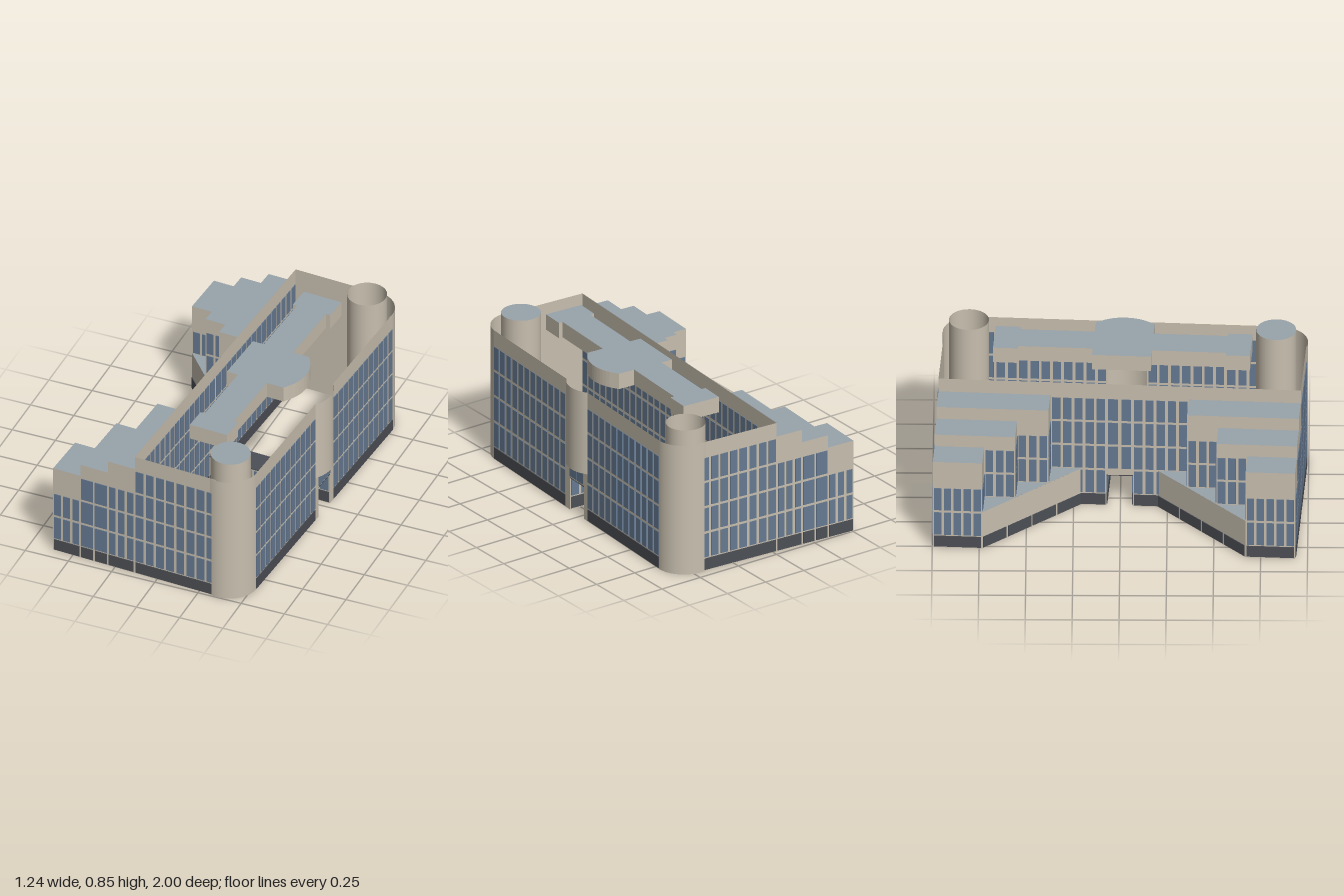
import * as THREE from 'three';
import { mergeGeometries } from 'three/addons/utils/BufferGeometryUtils.js';

const mat = (name, color) => {
  const m = new THREE.MeshStandardMaterial({ color, side: THREE.DoubleSide });
  m.name = name;
  return m;
};

export function createModel() {
  const stone = mat('stone', 0xc8bfaf);
  const glass = mat('glass', 0x667a92);
  const dark = mat('plinth', 0x4c4f55);
  const slate = mat('roof', 0x98a3ab);
  slate.side = THREE.FrontSide;

  const model = new THREE.Group();
  model.name = 'officeBuilding';
  const site = new THREE.Group();
  site.name = 'building';
  site.rotation.y = -0.057;
  model.add(site);

  const add = (parent, name, geo, material) => {
    const m = new THREE.Mesh(geo, material);
    m.name = name;
    parent.add(m);
    return m;
  };

  const ROWS = [[0.08, 0.217], [0.232, 0.367], [0.382, 0.515], [0.53, 0.662]];

  // Wall panel from a to b ([x, z]), facing left of its back; windows and plinth are thin plates
  function facade(name, a, b, y0, y1, o = {}) {
    const dx = b[0] - a[0], dz = b[1] - a[1], w = Math.hypot(dx, dz);
    const g = new THREE.Group();
    g.name = name;
    g.position.set(a[0], 0, a[1]);
    g.rotation.y = Math.atan2(-dz, dx);
    site.add(g);
    const wall = new THREE.PlaneGeometry(w, y1 - y0);
    wall.translate(w / 2, (y0 + y1) / 2, 0);
    add(g, 'wall', wall, stone);
    // plates either pass through the wall or sit on its outside only
    const depth = o.outside ? 0.004 : 0.008, off = o.outside ? 0.003 : 0;
    const plate = (x, y, pw, ph) => new THREE.BoxGeometry(pw, ph, depth).translate(x, y, off);
    if (o.n) {
      const pitch = w / o.n, panes = [];
      for (const [r0, r1] of o.rows) {
        for (let i = 0; i < o.n; i++) {
          panes.push(plate((i + 0.5) * pitch, (r0 + r1) / 2, pitch * (o.fill || 0.74), r1 - r0));
        }
      }
      add(g, 'windows', mergeGeometries(panes), glass);
    }
    if (o.plinth) {
      const k = o.plinth, bands = [];
      for (let i = 0; i < k; i++) bands.push(plate((i + 0.5) * w / k, 0.039, w / k - 0.012, 0.066));
      add(g, 'plinth', mergeGeometries(bands), dark);
    }
  }

  const shapeOf = (pts) => new THREE.Shape(pts.map(([x, z]) => new THREE.Vector2(x, -z)));
  const roof = (name, pts, y) =>
    add(site, name, new THREE.ShapeGeometry(shapeOf(pts)).rotateX(-Math.PI / 2).translate(0, y, 0), slate);

  const H = 0.755, END = 0.967, INNER = -0.077, OUTER = 0.57;
  const X = [-0.562, -0.4, -0.237, INNER];      // step edges of the wings
  const Z = [0.703, 0.537, 0.37, 0.205];        // courtyard edges of the steps
  const TOP = [0.53, 0.602, 0.675];
  const LEVELS = [2, 3, 3];
  const COLS = [3, 2, 3];

  for (const s of [1, -1]) {
    const tag = s > 0 ? 'front' : 'back';
    const f = (name, a, b, y0, y1, o) => s > 0
      ? facade(tag + name, a, b, y0, y1, o)
      : facade(tag + name, [b[0], -b[1]], [a[0], -a[1]], y0, y1, o);
    const r = (name, pts, y) => roof(tag + name, pts.map(([x, z]) => [x, z * s]), y);

    // Main block
    f('EndWall', [INNER, END], [0.405, END], 0, H, { n: 8, rows: ROWS, plinth: 1, outside: true });
    f('StreetWall', [OUTER, 0.825], [OUTER, 0.105], 0, H, { n: 12, rows: ROWS, plinth: 1 });
    f('CourtWall', [INNER, 0.07], [INNER, END], 0, H, { n: 15, rows: ROWS, plinth: 1 });

    // Passage side wall and entrance pier
    f('PassageWall', [INNER, 0.07], [OUTER, 0.07], 0, 0.19, { n: 10, rows: [[0.08, 0.18]], plinth: 1 });
    f('EntrancePier', [OUTER, 0.105], [OUTER, 0.07], 0, 0.28);

    // Stepped wing
    for (let i = 0; i < 3; i++) {
      const rows = ROWS.slice(0, LEVELS[i]);
      f('WingEnd' + i, [X[i], END], [X[i + 1], END], 0, TOP[i],
        { n: COLS[i], rows, plinth: i === 1 ? 2 : 1, fill: i === 1 ? 0.86 : 0.7, outside: true });
      f('WingCourtFace' + i, [X[i + 1], Z[i]], [X[i], Z[i]], 0, TOP[i], { n: 3, rows, plinth: 1 });
      const near = i ? Z[i - 1] : END;
      f('WingOuterFace' + i, [X[i], Z[i]], [X[i], near], 0, TOP[i], { n: i ? 3 : 5, rows, plinth: 1 });
      if (i) f('WingRiser' + i, [X[i], near], [X[i], END], TOP[i - 1], TOP[i]);
      r('WingRoof' + i, [[X[i], END], [X[i + 1], END], [X[i + 1], Z[i]], [X[i], Z[i]]], TOP[i]);
      // low podium filling the corner of each step
      r('PodiumRoof' + i, [[X[i], Z[i]], [X[i + 1], Z[i]], [X[i + 1], Z[i + 1]]], 0.225);
    }
    f('PodiumWall', [X[3], Z[3]], [X[0], Z[0]], 0, 0.225, { plinth: 4, outside: true });

    // Rounded corner and stair drum
    const corner = new THREE.CylinderGeometry(0.16, 0.16, H, 20, 1, true,
      s > 0 ? -0.25 : Math.PI / 2 - 0.15, Math.PI / 2 + 0.4);
    add(site, tag + 'RoundedCorner', corner, stone).position.set(0.41, H / 2, 0.815 * s);
    const drum = add(site, tag + 'StairDrum',
      new THREE.CylinderGeometry(0.107, 0.107, 0.83, 28, 1, true), stone);
    drum.position.set(0.413, 0.415, s > 0 ? 0.805 : -0.835);
  }

  // Only the front drum is covered
  add(site, 'drumRoof', new THREE.CircleGeometry(0.107, 28).rotateX(-Math.PI / 2), slate)
    .position.set(0.413, 0.83, 0.805);

  // Passage ceiling, walls over both openings
  add(site, 'passageCeiling', new THREE.BoxGeometry(OUTER - INNER, 0.006, 0.14), dark)
    .position.set((OUTER + INNER) / 2, 0.189, 0);
  facade('entranceLintel', [OUTER, 0.07], [OUTER, -0.07], 0.19, 0.28,
    { n: 2, rows: [[0.2, 0.272]], fill: 0.9 });
  facade('courtLintel', [INNER, -0.07], [INNER, 0.07], 0.19, H,
    { n: 2, rows: ROWS.slice(1) });

  // Shallow curved bay over the entrance
  const rise = 0.038, half = 0.106;
  const R = (half * half + rise * rise) / (2 * rise), ang = Math.asin(half / R);
  const bayX = OUTER + rise - R;
  add(site, 'entranceBay',
    new THREE.CylinderGeometry(R, R, H - 0.275, 16, 1, true, Math.PI / 2 - ang, 2 * ang), stone)
    .position.set(bayX, (H + 0.275) / 2, 0);
  const arc = (cx, cz, rad, a) => Array.from({ length: 13 }, (_, i) => {
    const t = a - (2 * a * i) / 12;
    return [cx + rad * Math.cos(t), cz + rad * Math.sin(t)];
  });
  add(site, 'baySoffit',
    new THREE.ShapeGeometry(shapeOf(arc(bayX, 0, R, ang))).rotateX(-Math.PI / 2), dark)
    .position.y = 0.277;

  // Cross-shaped rooftop plant room with a bowed front
  const plan = [
    [0.11, 0.684], [0.332, 0.684], [0.332, 0.555], [0.308, 0.555], [0.308, 0.157], [0.405, 0.157],
    ...arc(0.23, 0, 0.232, 0.6),
    [0.405, -0.157], [0.308, -0.157], [0.308, -0.555], [0.332, -0.555], [0.332, -0.688], [0.11, -0.688],
    [0.11, -0.555], [0.135, -0.555], [0.135, -0.157], [0.07, -0.157],
    [0.07, 0.157], [0.135, 0.157], [0.135, 0.555], [0.11, 0.555],
  ];
  const plant = new THREE.ExtrudeGeometry(shapeOf(plan), { depth: 0.845 - H, bevelEnabled: false });
  add(site, 'rooftopPlantRoom', plant.rotateX(-Math.PI / 2), [slate, stone]).position.y = H;

  return model;
}
